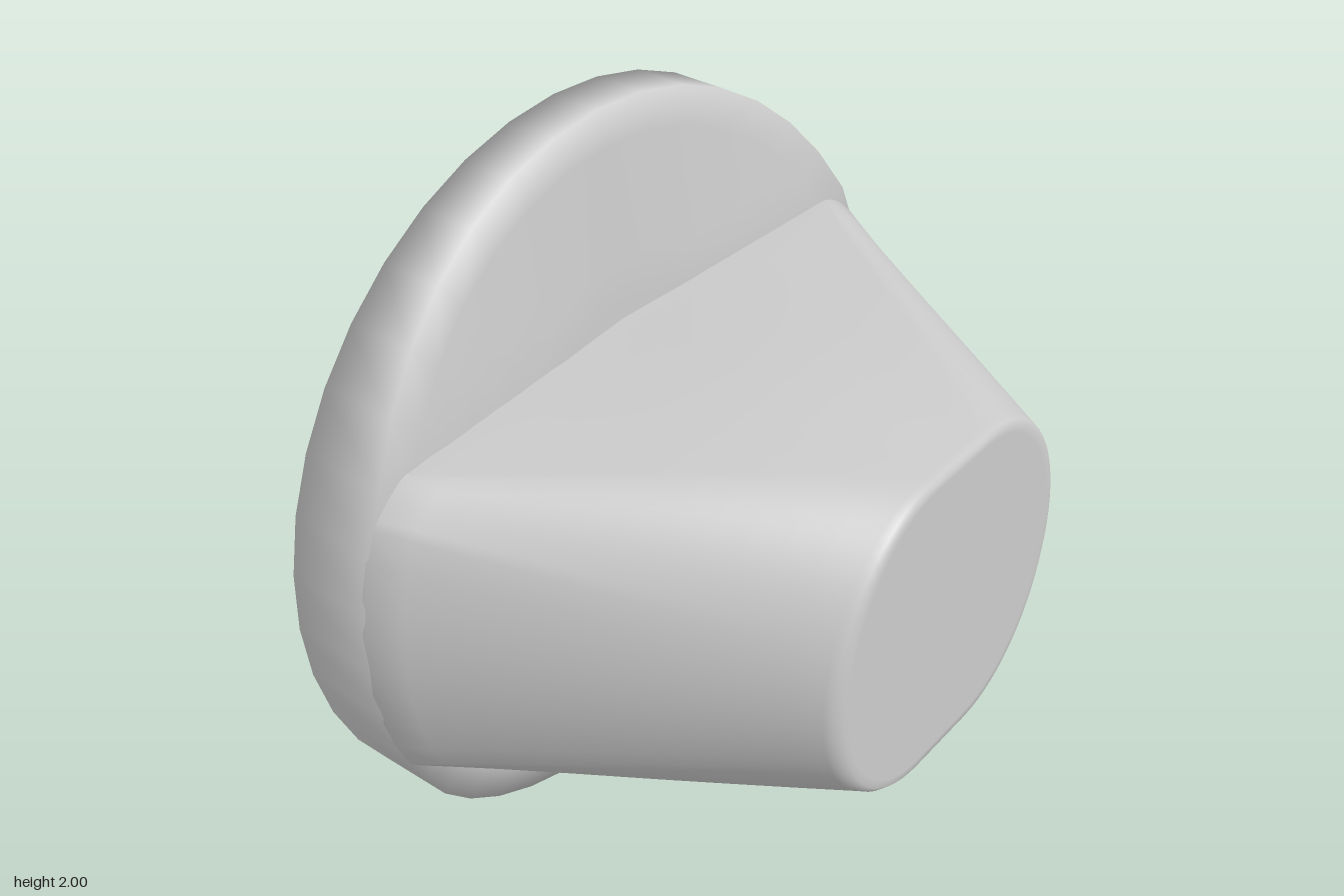
import * as THREE from 'three';
import { mergeVertices } from 'three/addons/utils/BufferGeometryUtils.js';

const CENTRE_Y = 1;

// Skins a stack of closed rings, ordered back to front, each counterclockwise seen from +z.
function loft(rings, name) {
  const n = rings[0].length;
  const index = [];
  for (let r = 0; r < rings.length - 1; r++) {
    for (let i = 0; i < n; i++) {
      const a = r * n + i, b = r * n + (i + 1) % n;
      index.push(a, b, b + n, a, b + n, a + n);
    }
  }
  let geometry = new THREE.BufferGeometry();
  geometry.setAttribute('position', new THREE.Float32BufferAttribute(rings.flat(2), 3));
  geometry.setIndex(index);
  geometry = mergeVertices(geometry, 1e-4);
  geometry.computeVertexNormals();
  const mesh = new THREE.Mesh(geometry, new THREE.MeshStandardMaterial({ color: 0xcccccc }));
  mesh.name = name;
  mesh.position.y = CENTRE_Y;
  return mesh;
}

// Round base plate: flat back, front face rising towards the grip.
function createDisc() {
  const ring = (radius, depth) => Array.from({ length: 40 }, (_, i) => {
    const a = i / 40 * Math.PI * 2;
    const x = radius * Math.cos(a), y = radius * Math.sin(a);
    return [x, y, depth(x, y)];
  });
  const back = () => -0.6;
  const front = (x, y) => {
    const rise = Math.min(1, (1 - Math.abs(y)) / 0.55);
    return -0.46 + rise * (0.05 + 0.05 * Math.min(1, Math.abs(x) / 0.9));
  };
  const rings = [ring(0, back), ring(1, back), ring(1, front)];
  for (const r of [0.9, 0.8, 0.7, 0.6, 0.5, 0.25, 0]) rings.push(ring(r, front));
  return loft(rings, 'baseDisc');
}

// Paired outlines: wide bar with arched ends at the back, near circle at the front.
function gripOutline() {
  const half = [];
  const steps = 32;
  for (let i = 0; i <= steps; i++) {
    const phi = (i / steps - 0.5) * Math.PI;
    const s = Math.sin(phi), c = Math.cos(phi);
    let base = [c, s];
    if (Math.abs(s) > 0.36) {
      const u = (Math.abs(s) - 0.36) / 0.64;
      base = [0.933 - 0.133 * u, Math.sign(s) * (0.36 + 0.085 * Math.sin(u * Math.PI / 2))];
    }
    half.push({ base, tip: [0.12 + 0.375 * c, 0.45 * s] });
  }
  // flat top between the two rounded ends
  for (const k of [0.6, 0.3, 0, -0.3, -0.6]) {
    half.push({ base: [0.8 * k, 0.445], tip: [0.12 * k, 0.45] });
  }
  const turned = half.map(({ base, tip }) => ({ base: base.map(v => -v), tip: tip.map(v => -v) }));
  return half.concat(turned);
}

// Tapered grip, slightly crowned on top and bottom.
function createGrip() {
  const outline = gripOutline();
  const section = (t, z, sx = 1, sy = 1) => outline.map(({ base, tip }) => {
    const x = THREE.MathUtils.lerp(base[0], tip[0], t);
    const y = THREE.MathUtils.lerp(base[1], tip[1], t);
    const crown = 0.022 * Math.sin(Math.PI * t) * Math.pow(Math.abs(y) / 0.45, 4)
      * Math.max(0, 1 - Math.abs(x) / 0.8);
    return [x * sx, (y + Math.sign(y) * crown) * sy, z];
  });
  const rings = [section(0, -0.44, 0.985, 0.99)];
  for (let i = 0; i <= 12; i++) rings.push(section(i / 12, -0.36 + 0.93 * i / 12));
  // rounded front edge and flat front face
  rings.push(section(1, 0.59, 0.97, 0.995), section(1, 0.6, 0.92, 0.985));
  rings.push(section(1, 0.6, 0.88, 0.94), section(1, 0.6, 0, 0));
  return loft(rings, 'grip');
}

export function createModel() {
  const model = new THREE.Group();
  model.name = 'knob';
  model.add(createDisc(), createGrip());
  return model;
}
